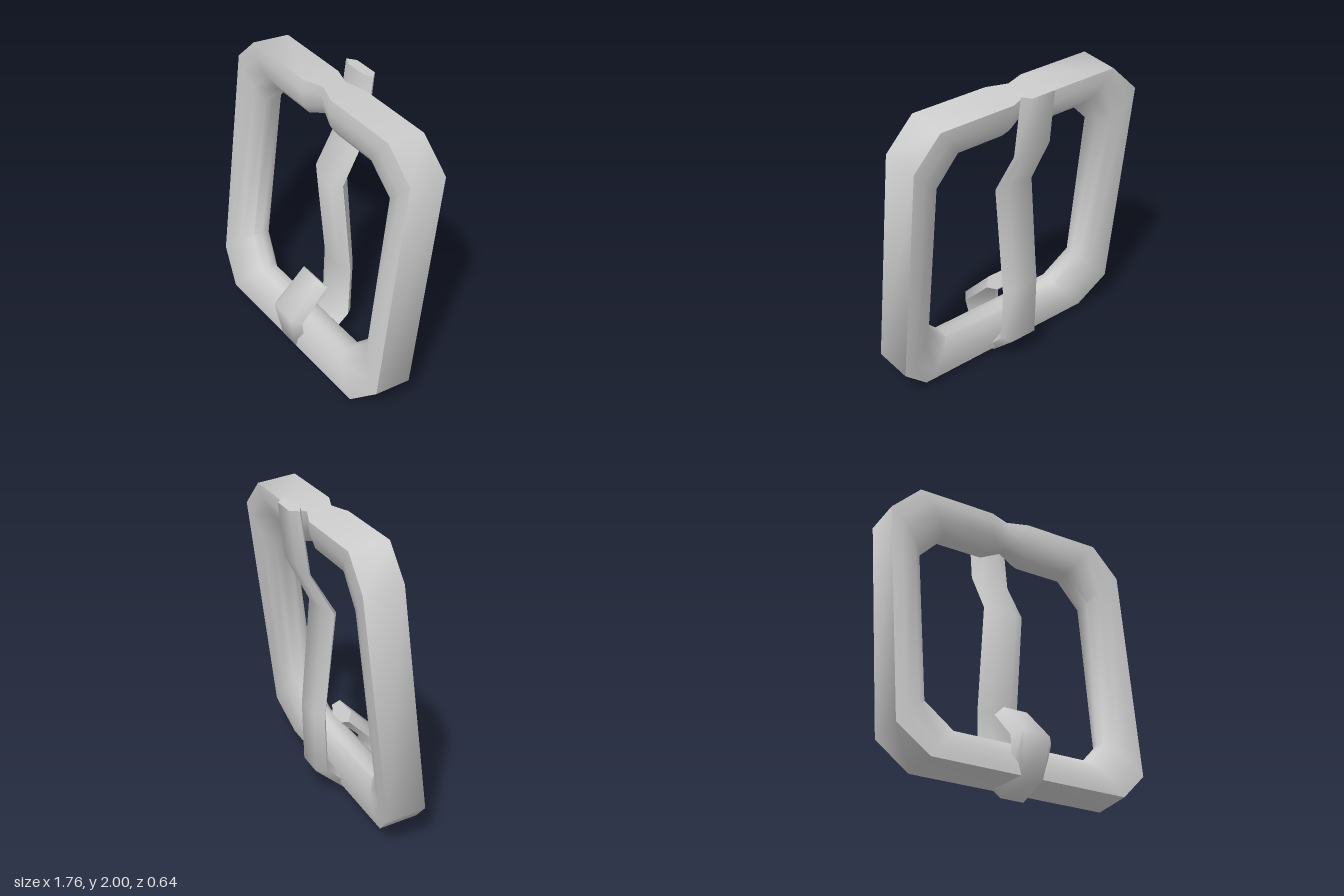
import * as THREE from 'three';
import { toCreasedNormals } from 'three/addons/utils/BufferGeometryUtils.js';

const material = new THREE.MeshStandardMaterial({ color: 0xcccccc });

// Skin a list of rings; closed joins last ring to first, otherwise ends are capped
function loft(name, rings, closed, crease) {
  const n = rings[0].length, count = rings.length, index = [];
  for (let i = 0; i < (closed ? count : count - 1); i++) {
    const p = i * n, q = ((i + 1) % count) * n;
    for (let j = 0; j < n; j++) {
      const k = (j + 1) % n;
      index.push(p + j, q + j, p + k, q + j, q + k, p + k);
    }
  }
  if (!closed) {
    const e = (count - 1) * n;
    for (let j = 1; j < n - 1; j++) index.push(0, j, j + 1, e, e + j + 1, e + j);
  }
  const geo = new THREE.BufferGeometry();
  geo.setAttribute('position', new THREE.Float32BufferAttribute(rings.flat(2), 3));
  geo.setIndex(index);
  const mesh = new THREE.Mesh(toCreasedNormals(geo, crease), material);
  mesh.name = name;
  return mesh;
}

// Leaning frame: flat outer face, rounded inside, chamfered corners
function buildFrame() {
  // [inner x, inner y, outer x, outer y, depth scale, forward shift], right half, clockwise
  const half = [
    [0.14, 1.69, 0.14, 1.94, 1, 0.03],
    [0.47, 1.69, 0.68, 1.94, 1, 0.03],
    [0.64, 1.52, 0.88, 1.75, 1, 0],
    [0.64, 0.48, 0.88, 0.25, 1, 0],
    [0.47, 0.31, 0.68, 0.065, 1, 0.03],
  ];
  const mirrored = half.map(([a, b, c, d, s, f]) => [-a, b, -c, d, s, f]).reverse();
  // the top bar is pinched in the middle where the prong rests
  const stations = [[0, 1.755, 0, 1.945, 0.62, 0.03], ...half, ...mirrored];
  // [inner-to-outer fraction, depth]
  const section = [
    [1, 0.128], [1, -0.128], [0.7, -0.135], [0.3, -0.11], [0.04, -0.055],
    [0, 0], [0.04, 0.055], [0.3, 0.11], [0.7, 0.135],
  ];
  const rings = stations.map(([ix, iy, ox, oy, s, f]) => section.map(([t, d]) => {
    const x = ix + (ox - ix) * t, y = iy + (oy - iy) * t;
    return [x, y + 0.115 * d * s, 0.118 - 0.122 * y + f + d * s];
  }));
  return loft('frame', rings, true, 1.0);
}

// Prong: runs down behind the frame and hooks forward around the lower bar
function buildProng() {
  // [outer z, outer y, inner z, inner y, half width]
  const stations = [
    [-0.32, 1.99, -0.24, 2.0, 0.135],
    [-0.28, 1.64, -0.18, 1.56, 0.14],
    [-0.12, 1.33, -0.01, 1.28, 0.145],
    [-0.178, 0.6, -0.085, 0.58, 0.145],
    [-0.165, 0.19, -0.07, 0.23, 0.145],
    [0.05, 0.0, 0.05, 0.1, 0.125],
    [0.27, 0.08, 0.2, 0.14, 0.115],
    [0.32, 0.34, 0.22, 0.31, 0.145],
    [0.09, 0.57, 0.03, 0.49, 0.13],
  ];
  // [width fraction, outer-to-inner fraction]
  const section = [[0.65, 0], [-0.65, 0], [-1, 0.6], [-0.5, 1], [0.5, 1], [1, 0.6]];
  const rings = stations.map(([oz, oy, iz, iy, w]) => section.map(([u, t]) =>
    [u * w, oy + (iy - oy) * t, oz + (iz - oz) * t]));
  return loft('prong', rings, false, 1.25);
}

export function createModel() {
  const group = new THREE.Group();
  group.name = 'buckle';
  group.add(buildFrame(), buildProng());
  return group;
}
